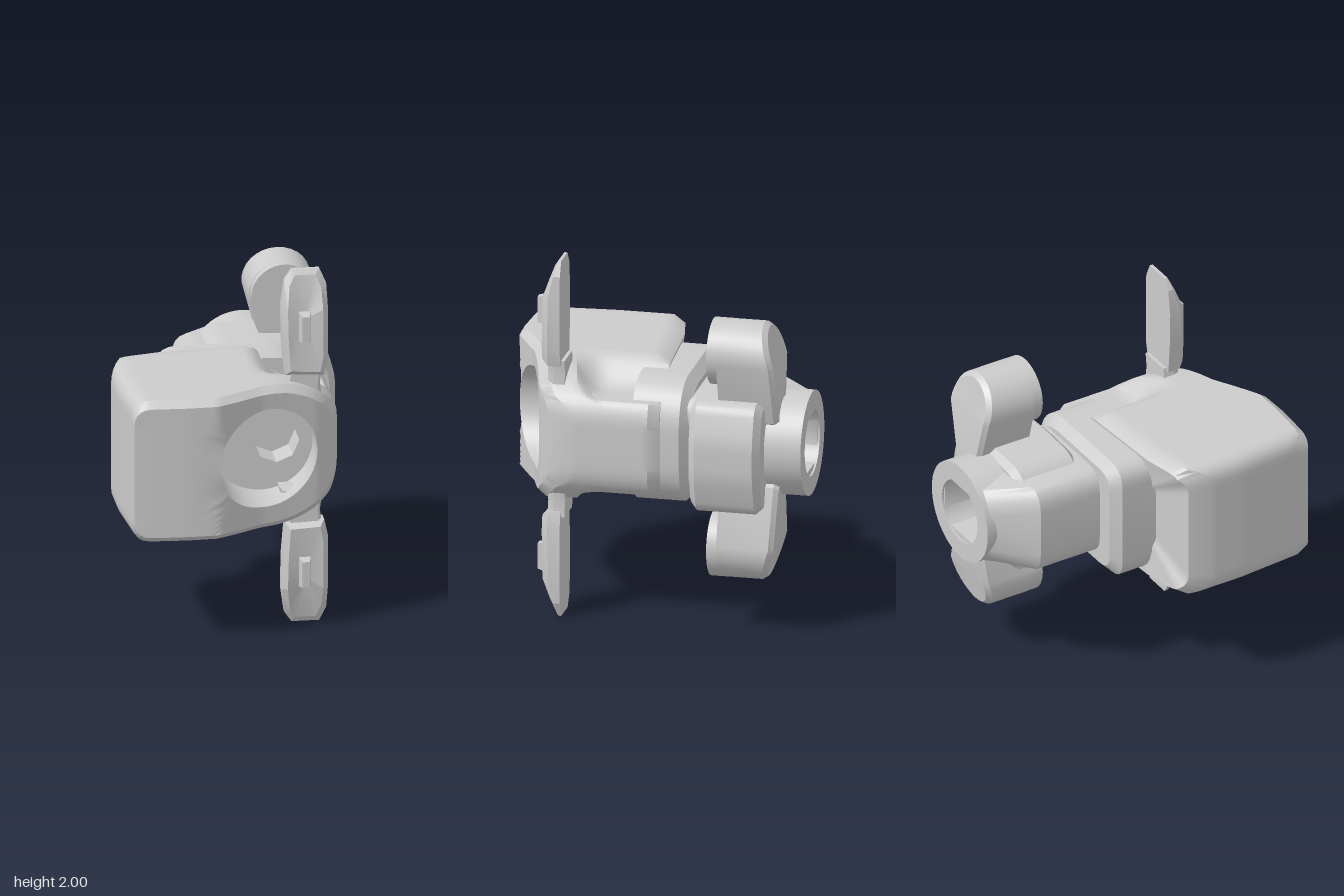
import * as THREE from 'three';
import { toCreasedNormals } from 'three/addons/utils/BufferGeometryUtils.js';

const material = new THREE.MeshStandardMaterial({ color: 0xcccccc });
const V = (x, y, z) => new THREE.Vector3(x, y, z);

// Skin a list of equal-length rings (counter-clockwise seen from +z, back to front) and cap both ends
function loft(rings, crease = 0.5) {
  const n = rings[0].length, pos = [], idx = [];
  rings.flat().forEach(p => pos.push(p.x, p.y, p.z));
  for (let i = 0; i < rings.length - 1; i++) {
    for (let j = 0; j < n; j++) {
      const a = i * n + j, b = i * n + (j + 1) % n;
      idx.push(a, b, b + n, a, b + n, a + n);
    }
  }
  [0, rings.length - 1].forEach((r, end) => {
    const c = rings[r].reduce((s, p) => s.add(p), V(0, 0, 0)).divideScalar(n);
    const ci = pos.length / 3;
    pos.push(c.x, c.y, c.z);
    for (let j = 0; j < n; j++) {
      const a = r * n + j, b = r * n + (j + 1) % n;
      if (end) idx.push(ci, a, b); else idx.push(ci, b, a);
    }
  });
  const g = new THREE.BufferGeometry();
  g.setAttribute('position', new THREE.Float32BufferAttribute(pos, 3));
  g.setIndex(idx);
  return toCreasedNormals(g, crease);
}

// Round the corners of a polygon given as [x, y] pairs
function rounded(pts, r, steps = 5) {
  const p = pts.map(q => new THREE.Vector2(...q)), out = [];
  p.forEach((c, i) => {
    const toward = o => {
      const d = o.clone().sub(c);
      return c.clone().add(d.setLength(Math.min(r, d.length() * 0.48)));
    };
    const a = toward(p[(i + p.length - 1) % p.length]), b = toward(p[(i + 1) % p.length]);
    out.push(...new THREE.QuadraticBezierCurve(a, c, b).getPoints(steps));
  });
  return out;
}

const rect = (x0, x1, y0, y1) => [[x0, y0], [x1, y0], [x1, y1], [x0, y1]];
const at = (outline, z) => outline.map(p => V(p.x, p.y, z));

// Move an outline inwards by about d
function inset(outline, d) {
  const box = new THREE.Box2().setFromPoints(outline);
  const c = box.getCenter(new THREE.Vector2()), s = box.getSize(new THREE.Vector2());
  return outline.map(p => new THREE.Vector2(
    c.x + (p.x - c.x) * (1 - 2 * d / s.x), c.y + (p.y - c.y) * (1 - 2 * d / s.y)));
}

const slab = (o, z0, z1, d) =>
  [at(inset(o, d), z0), at(o, z0 + d), at(o, z1 - d), at(inset(o, d), z1)];

// Mirror an outline to the upper (s = 1) or lower (s = -1) side, keeping it counter-clockwise
function side(pts, s) {
  const q = pts.map(([x, y]) => [x, 1 + s * (y - 1)]);
  return s < 0 ? q.reverse() : q;
}

// Piecewise linear lookup in [x, value] pairs
function curve(table, x) {
  if (x <= table[0][0]) return table[0][1];
  for (let i = 1; i < table.length; i++) {
    const [x0, v0] = table[i - 1], [x1, v1] = table[i];
    if (x <= x1) return v0 + (v1 - v0) * (x - x0) / (x1 - x0);
  }
  return table[table.length - 1][1];
}

const FRONT = [[-0.64, 0.79], [-0.6, 0.83], [-0.3, 0.845], [-0.15, 0.84], [-0.02, 0.77], [0.1, 0.7],
  [0.25, 0.65], [0.42, 0.6], [0.5, 0.54], [0.55, 0.44]];
const BACK = [[-0.64, 0.14], [-0.58, 0.03], [-0.35, -0.02], [0.1, -0.05], [0.55, -0.08]];

// Housing with a slanted front, a round bore and a scoop above and below
function bodyGeometry() {
  const corners = rounded([[-0.64, 0.6], [0.25, 0.6], [0.43, 0.67], [0.55, 0.79],
    [0.55, 1.21], [0.43, 1.33], [0.25, 1.4], [-0.64, 1.4]], 0.1);
  corners.push(corners[0].clone());
  const outline = new THREE.Shape(corners).getSpacedPoints(120).slice(0, 120);
  const inner = inset(outline, 0.035);
  const shape = (x, y, z) => {
    const dent = THREE.MathUtils.smoothstep(x, 0.1, 0.32) * (1 - THREE.MathUtils.smoothstep(z, 0.28, 0.48));
    const h = Math.min(Math.abs(y - 1), 0.4 - 0.15 * dent);
    const taper = x < -0.4 ? Math.max(0, z - 0.4) * 0.08 : 0;
    return V(x + taper, 1 + Math.sign(y - 1) * h, z);
  };
  const rings = [inner.map(p => shape(p.x, p.y, curve(BACK, p.x)))];
  for (let i = 0; i <= 14; i++) {
    rings.push(outline.map(p => shape(p.x, p.y,
      THREE.MathUtils.lerp(curve(BACK, p.x) + 0.06, curve(FRONT, p.x) - 0.045, i / 14))));
  }
  const c = new THREE.Vector2(0.135, 1.005);
  const angles = outline.map(p => Math.atan2(p.y - c.y, p.x - c.x));
  const bore = angles.map(a => new THREE.Vector2(c.x + 0.28 * Math.cos(a), c.y + 0.275 * Math.sin(a)));
  for (let i = 0; i <= 6; i++) {
    rings.push(inner.map((p, j) => {
      const q = p.clone().lerp(bore[j], i / 6);
      return V(q.x, q.y, curve(FRONT, q.x));
    }));
  }
  rings.push(at(bore, 0.42));
  // Eight-sided recess in the bore floor
  const step = Math.PI / 4;
  const octagon = angles.map(a => {
    const m = ((a % step) + step) % step - step / 2;
    const r = 0.115 / Math.cos(m);
    return new THREE.Vector2(0.22 + r * Math.cos(a), 1.005 + r * Math.sin(a));
  });
  rings.push(at(octagon, 0.42), at(octagon, 0.25));
  return loft(rings, 0.55);
}

export function createModel() {
  const model = new THREE.Group();
  const add = (name, geometry, parent = model) => {
    const mesh = new THREE.Mesh(geometry, material);
    mesh.name = name;
    parent.add(mesh);
  };

  add('body', bodyGeometry());

  // Collar and neck behind the body
  const collar = rounded([[-0.35, 0.65], [0.36, 0.65], [0.49, 0.8], [0.49, 1.2], [0.36, 1.35], [-0.35, 1.35]], 0.12);
  add('collar', loft([at(inset(collar, 0.05), -0.23), at(collar, -0.18), at(collar, 0.08)]));
  const neck = rounded(rect(-0.2, 0.44, 0.74, 1.27), 0.13);
  const neckTip = rounded(rect(-0.06, 0.4, 0.86, 1.15), 0.13);
  add('neck', loft([at(neckTip, -0.845), at(neck, -0.6), at(neck, -0.15)]));

  // Wide band around the neck
  const band = rounded([[-0.13, 0.8], [0, 0.67], [0.25, 0.66], [0.58, 0.69], [0.64, 0.9],
    [0.64, 1.1], [0.58, 1.3], [0.25, 1.32], [0, 1.31], [-0.13, 1.18]], 0.06);
  add('band', loft(slab(band, -0.65, -0.26, 0.035)));

  // Open rear tube
  const tube = [[0, -0.66], [0.18, -0.66], [0.18, -0.85], [0.285, -0.85], [0.285, -0.5], [0, -0.5]]
    .map(([r, z]) => new THREE.Vector2(r, -z));
  const tubeGeo = new THREE.LatheGeometry(tube.reverse(), 48);
  tubeGeo.rotateX(-Math.PI / 2).translate(0.22, 1.005, 0);
  // Plug the neck tip so that only the bore of the tube is seen
  const tubeMesh = toCreasedNormals(tubeGeo, 0.5);
  add('rearTube', tubeMesh);
  model.getObjectByName('neck').geometry = loft([
    ...[[0.18, -0.655], [0.18, -0.84], [0.27, -0.84]].map(([r, z]) => neck.map(p => {
      const a = Math.atan2(p.y - 1.005, p.x - 0.12);
      return V(0.22 + r * Math.cos(a), 1.005 + r * Math.sin(a), z);
    })),
    at(neck, -0.6), at(neck, -0.15)]);

  for (const s of [1, -1]) {
    const label = s > 0 ? 'upper' : 'lower';

    // Teardrop lug with a round cap
    const arc = [];
    for (let i = 0; i <= 16; i++) {
      const a = -0.15 + (Math.PI + 0.3) * i / 16;
      arc.push([0.375 + 0.185 * Math.cos(a), 1.535 + 0.185 * Math.sin(a)]);
    }
    const lug = side([[0.28, 1.18], [0.33, 1.15], [0.42, 1.15], [0.47, 1.18], ...arc], s)
      .map(q => new THREE.Vector2(...q));
    const rear = (o, lift) => o.map(p =>
      V(p.x, p.y, -0.72 + lift + 0.07 * Math.max(0, (Math.abs(p.y - 1) - 0.47) / 0.25)));
    add(label + 'Lug', loft([rear(inset(lug, 0.02), 0), rear(lug, 0.025), at(lug, -0.4)]));
    const cap = new THREE.CylinderGeometry(0.18, 0.18, 0.1, 40).rotateX(Math.PI / 2);
    cap.translate(0.375, 1 + s * 0.54, -0.395);
    add(label + 'Cap', cap);

    // Flat blade with a tapering tip, a root and a small raised stud
    const blade = new THREE.Group();
    blade.name = label + 'Blade';
    model.add(blade);
    const face = side([[0.25, 1.42], [0.46, 1.41], [0.48, 1.5], [0.48, 1.8], [0.475, 1.92], [0.44, 2],
      [0.29, 2], [0.25, 1.94], [0.23, 1.8], [0.235, 1.6]], s).map(q => new THREE.Vector2(...q));
    const thick = (o, t) => o.map(p => {
      const h = Math.abs(p.y - 1);
      return V(p.x, p.y, 0.475 + t * (1 - 0.75 * THREE.MathUtils.clamp((h - 0.78) / 0.22, 0, 1)));
    });
    add('bladePlate', loft([at(face, 0.475), thick(face, 0.07), thick(inset(face, 0.03), 0.105)], 0.3), blade);
    const root = side([[0.22, 1.22], [0.46, 1.22], [0.44, 1.36], [0.45, 1.44], [0.27, 1.44], [0.25, 1.36]], s)
      .map(q => new THREE.Vector2(...q));
    add('bladeRoot', loft([at(root, 0.455), at(root, 0.52), at(inset(root, 0.02), 0.55)], 0.3), blade);
    const stud = side(rect(0.32, 0.385, 1.61, 1.78), s).map(q => new THREE.Vector2(...q));
    add('bladeStud', loft([at(stud, 0.56), at(inset(stud, 0.013), 0.62)], 0.3), blade);
  }
  return model;
}
